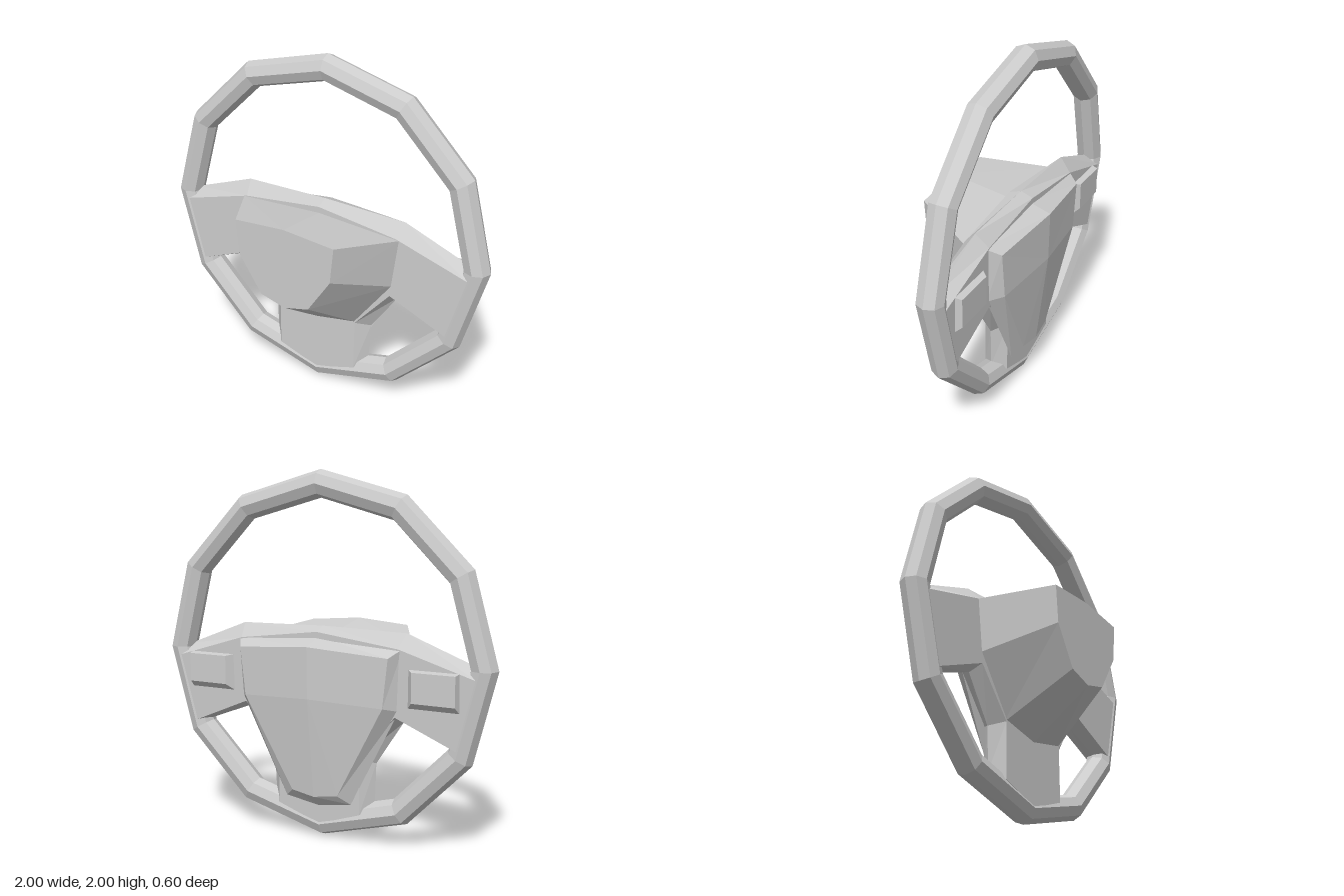
import * as THREE from 'three';

const material = new THREE.MeshStandardMaterial({ color: 0xcccccc, flatShading: true });

// Half outline [x, y, z?] from top centre to bottom centre -> closed loop, anticlockwise from the front
function mirrorLoop(half, z = 0) {
  const right = half.map(([x, y, pz = z]) => new THREE.Vector3(x, y, pz));
  const left = right.map((p) => new THREE.Vector3(-p.x, p.y, p.z));
  return [...left, ...right.slice(1, -1).reverse()];
}

// Skin between loops ordered front to back, capped at both ends; an apex gives a faceted back cap
function loft(loops, apex) {
  const pos = [];
  const tri = (...pts) => pts.forEach((p) => pos.push(p.x, p.y, p.z));
  const n = loops[0].length;
  for (let k = 0; k < loops.length - 1; k++) {
    for (let i = 0; i < n; i++) {
      const j = (i + 1) % n;
      const [a, b] = [loops[k], loops[k + 1]];
      tri(a[i], b[i], b[j]);
      tri(a[i], b[j], a[j]);
    }
  }
  const cap = (loop, facing) => {
    const flat = loop.map((p) => new THREE.Vector2(p.x, p.y));
    for (const [i, j, k] of THREE.ShapeUtils.triangulateShape(flat, [])) {
      const ccw = THREE.ShapeUtils.area([flat[i], flat[j], flat[k]]) > 0;
      if (ccw === facing > 0) tri(loop[i], loop[j], loop[k]);
      else tri(loop[i], loop[k], loop[j]);
    }
  };
  const last = loops[loops.length - 1];
  cap(loops[0], 1);
  if (apex) last.forEach((p, i) => tri(p, apex, last[(i + 1) % n]));
  else cap(last, -1);
  const geometry = new THREE.BufferGeometry();
  geometry.setAttribute('position', new THREE.Float32BufferAttribute(pos, 3));
  geometry.computeVertexNormals();
  return geometry;
}

function addMesh(parent, name, geometry) {
  const mesh = new THREE.Mesh(geometry, material);
  mesh.name = name;
  parent.add(mesh);
  return mesh;
}

export function createModel() {
  const model = new THREE.Group();
  model.name = 'steeringWheel';

  // Rim and spokes lean back slightly together
  const wheel = new THREE.Group();
  wheel.name = 'wheel';
  wheel.position.set(0, 1.005, -0.125);
  wheel.rotation.x = -0.02;
  model.add(wheel);

  addMesh(wheel, 'rim', new THREE.TorusGeometry(0.925, 0.075, 8, 12));

  // Three-spoke plate with chamfered edges
  const face = [[0, 1.15], [0.48, 1.09], [0.91, 0.96], [0.82, 0.58],
    [0.46, 0.73], [0.25, 0.48], [0.25, 0.17], [0, 0.085]];
  const middle = [[0, 1.175], [0.5, 1.165], [0.88, 1.02], [0.8, 0.57],
    [0.48, 0.69], [0.32, 0.45], [0.31, 0.21], [0, 0.085]];
  const spokes = loft([mirrorLoop(face, 0.07), mirrorLoop(middle, 0), mirrorLoop(face, -0.07)]);
  addMesh(wheel, 'spokes', spokes.translate(0, -1.005, 0));

  // Column shroud, narrowing towards the front
  addMesh(model, 'columnShroud', loft([
    mirrorLoop([[0, 1.175], [0.305, 1.15], [0.285, 0.94], [0.15, 0.73], [0, 0.69]], 0.297),
    mirrorLoop([[0, 1.115], [0.5, 1.085], [0.47, 0.79], [0.25, 0.48], [0, 0.43]], -0.06),
  ]));

  // Back cover with a central ridge
  addMesh(model, 'hubCover', loft([
    mirrorLoop([[0, 1.12], [0.5, 1.09], [0.48, 0.76], [0.2, 0.22], [0, 0.19]], -0.18),
    mirrorLoop([[0, 1.08, -0.305], [0.45, 1.045, -0.255], [0.42, 0.78, -0.255],
      [0.14, 0.27, -0.225], [0, 0.25, -0.235]]),
  ], new THREE.Vector3(0, 0.8, -0.3)));

  // Raised button pads on the back of the side spokes
  for (const [name, side] of [['leftButtonPad', 1], ['rightButtonPad', -1]]) {
    const quad = (x0, x1, y0, y1, z) => {
      const [a, b] = side > 0 ? [x0, x1] : [-x1, -x0];
      return [[a, y0], [b, y0], [b, y1], [a, y1]].map(([x, y]) => new THREE.Vector3(x, y, z));
    };
    addMesh(model, name, loft([
      quad(0.53, 0.82, 0.78, 0.99, -0.185),
      quad(0.57, 0.81, 0.82, 0.98, -0.23),
    ]));
  }
  return model;
}
